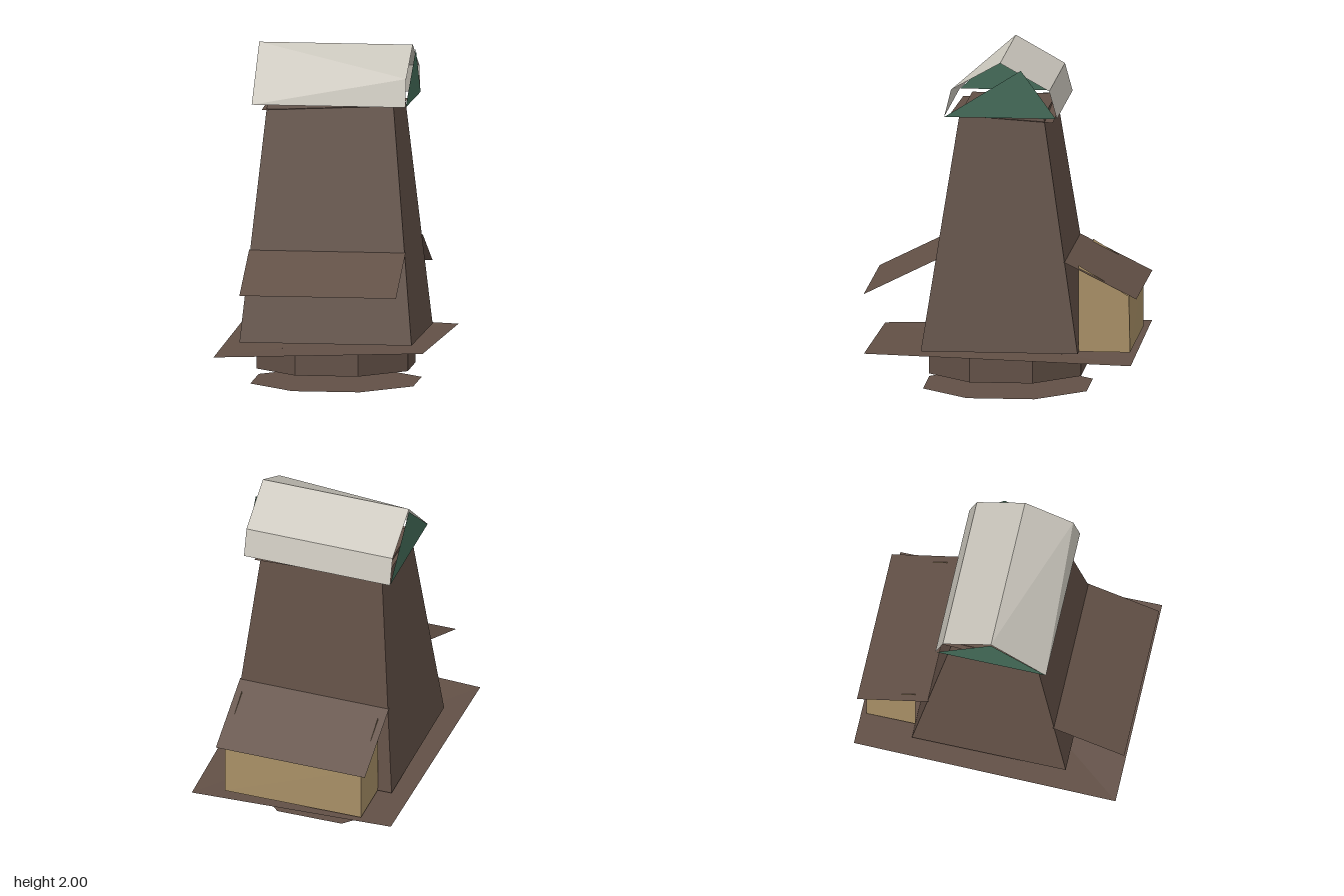
import * as THREE from 'three';

const flat = (name, color) => new THREE.MeshStandardMaterial({
  name, color, flatShading: true, side: THREE.DoubleSide,
});

export function createModel() {
  const brown = flat('brown wood', 0x625046);
  const white = flat('pale roof', 0xc9c5bb);
  const tan = flat('tan boards', 0xa88f66);
  const green = flat('green gable', 0x436b58);

  const model = new THREE.Group();
  model.name = 'mill';
  // Everything but the base is turned on the vertical axis
  const body = new THREE.Group();
  body.name = 'body';
  body.rotation.y = 0.382;
  model.add(body);

  const add = (parent, name, geometry, material) => {
    const mesh = new THREE.Mesh(geometry, material);
    mesh.name = name;
    parent.add(mesh);
    return mesh;
  };

  // Sheet made of corner points and fans of corners
  const sheet = (points, faces) => {
    const out = [];
    for (const f of faces) {
      for (let i = 1; i < f.length - 1; i++) {
        out.push(...points[f[0]], ...points[f[i]], ...points[f[i + 1]]);
      }
    }
    const g = new THREE.BufferGeometry();
    g.setAttribute('position', new THREE.Float32BufferAttribute(out, 3));
    g.computeVertexNormals();
    return g;
  };

  // Rectangular deck creased along its lower diagonal
  const foldedDeck = (w, d, high, low) => sheet(
    [[-w, high, -d], [-w, low, d], [w, high, d], [w, low, -d]],
    [[0, 1, 3], [1, 2, 3]],
  );

  // Octagonal base above a flat octagonal ground sheet
  add(model, 'base', new THREE.CylinderGeometry(0.485, 0.485, 0.148, 8), brown).position.y = 0.162;
  add(model, 'groundSheet', new THREE.CircleGeometry(0.522, 8).rotateX(-Math.PI / 2), brown);

  // Decks under and on top of the tower
  add(body, 'platform', foldedDeck(0.62, 0.788, 0.28, 0.235), brown);
  add(body, 'topDeck', foldedDeck(0.4, 0.305, 1.675, 1.638), brown);

  // Tapered tower
  const tower = new THREE.BoxGeometry(2, 1.39, 2);
  const p = tower.attributes.position;
  for (let i = 0; i < p.count; i++) {
    const top = p.getY(i) > 0;
    p.setX(i, p.getX(i) * (top ? 0.374 : 0.51));
    p.setZ(i, p.getZ(i) * (top ? 0.249 : 0.463));
  }
  tower.translate(0, 0.975, 0);
  tower.computeVertexNormals();
  add(body, 'tower', tower, brown);

  // Sloping awnings at front and back
  for (const [name, s] of [['frontAwning', 1], ['backAwning', -1]]) {
    const w = 0.464 * s;
    add(body, name, sheet(
      [[-w, 0.82, 0.375 * s], [-w, 0.606, 0.805 * s], [w, 0.606, 0.805 * s], [w, 0.82, 0.375 * s]],
      [[0, 1, 2, 3]],
    ), brown);
  }

  // Open shed below the back awning: two side walls and a back wall
  const h = 0.423;
  const sideWall = (x) => [
    [x, 0.28, -0.46], [x, 0.28, x > 0 ? -0.764 : -0.757], [x, 0.615, -0.757], [x, 0.795, -0.46],
  ];
  add(body, 'shed', sheet(
    [...sideWall(h), ...sideWall(-h)],
    [[0, 1, 2, 3], [4, 7, 6, 5], [1, 5, 6, 2]],
  ), tan);

  // Cap roof: the front knee exists only at the +x end
  const e = 0.455;
  const eave = 1.673;
  add(body, 'capRoof', sheet([
    [-e, 2, 0], [e, 2, 0],
    [e, 1.837, 0.29], [e, eave, 0.331], [-e, eave, 0.331],
    [e, 1.837, -0.29], [-e, 1.837, -0.29],
    [e, eave, -0.335], [-e, eave, -0.335],
  ], [[0, 2, 1], [0, 4, 2], [4, 3, 2], [0, 1, 5, 6], [6, 5, 7, 8]]), white);

  // Gable triangles, the left one leaning back
  const gable = (x, apexY, apexZ) => sheet(
    [[x, eave, 0.329 * Math.sign(x)], [x, eave, -0.329 * Math.sign(x)], [x, apexY, apexZ]],
    [[0, 1, 2]],
  );
  add(body, 'leftGable', gable(0.457, 1.957, -0.122), green);
  add(body, 'rightGable', gable(-0.454, 1.98, 0), green);

  return model;
}
